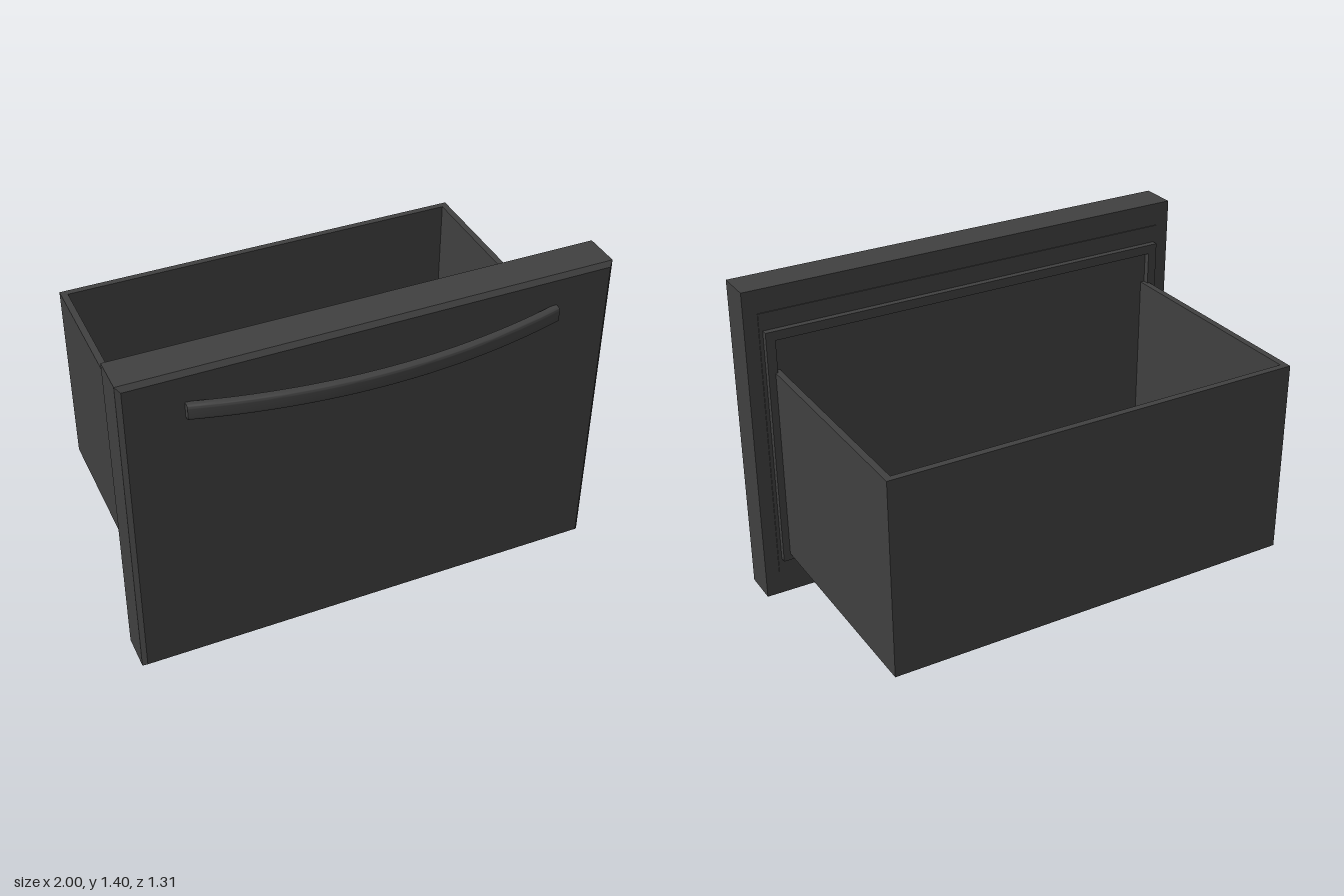
import * as THREE from 'three';
import { toCreasedNormals } from 'three/addons/utils/BufferGeometryUtils.js';

const material = new THREE.MeshStandardMaterial({ color: 0x404040 });

function add(parent, name, geometry, x = 0, y = 0, z = 0) {
  const mesh = new THREE.Mesh(geometry, material);
  mesh.name = name;
  mesh.position.set(x, y, z);
  parent.add(mesh);
  return mesh;
}

// Box given by its lower and upper corners
function addBox(parent, name, [x0, y0, z0], [x1, y1, z1]) {
  return add(parent, name, new THREE.BoxGeometry(x1 - x0, y1 - y0, z1 - z0),
    (x0 + x1) / 2, (y0 + y1) / 2, (z0 + z1) / 2);
}

function rectangle(Type, w, h, y) {
  return new Type([
    new THREE.Vector2(-w / 2, y - h / 2), new THREE.Vector2(w / 2, y - h / 2),
    new THREE.Vector2(w / 2, y + h / 2), new THREE.Vector2(-w / 2, y + h / 2),
  ]);
}

// Slab with chamfered front edges and a square back
function panelGeometry(w, h, d, chamfer) {
  const geometry = new THREE.BoxGeometry(w, h, d, 1, 1, 2);
  const p = geometry.attributes.position;
  for (let i = 0; i < p.count; i++) {
    const z = p.getZ(i);
    if (Math.abs(z) < 1e-6) p.setZ(i, d / 2 - chamfer);
    else if (z > 0) {
      p.setX(i, p.getX(i) - Math.sign(p.getX(i)) * chamfer);
      p.setY(i, p.getY(i) - Math.sign(p.getY(i)) * chamfer);
    }
  }
  return toCreasedNormals(geometry, 0.5);
}

// Rounded bar along x, bowed forward by a parabola
function handleGeometry(length, height, depth, bow) {
  const r = 0.014, a = depth / 2, b = height / 2;
  const s = new THREE.Shape();
  s.moveTo(-a + r, -b);
  s.lineTo(a - r, -b);
  s.quadraticCurveTo(a, -b, a, -b + r);
  s.lineTo(a, b - r);
  s.quadraticCurveTo(a, b, a - r, b);
  s.lineTo(-a + r, b);
  s.quadraticCurveTo(-a, b, -a, b - r);
  s.lineTo(-a, -b + r);
  s.quadraticCurveTo(-a, -b, -a + r, -b);
  const geometry = new THREE.ExtrudeGeometry(s, {
    depth: length, steps: 32, curveSegments: 5, bevelEnabled: false,
  });
  geometry.translate(0, 0, -length / 2).rotateY(Math.PI / 2);
  const p = geometry.attributes.position;
  for (let i = 0; i < p.count; i++) {
    const t = p.getX(i) / (length / 2);
    p.setZ(i, p.getZ(i) + bow * (1 - t * t));
  }
  return toCreasedNormals(geometry, 0.7);
}

export function createModel() {
  const model = new THREE.Group();
  model.name = 'drawer';

  // Front panel with a shallow raised backing
  add(model, 'frontPanel', panelGeometry(2, 1.4, 0.17, 0.018), 0, 0.7, 0.438);
  addBox(model, 'panelBacking', [-0.94, 0.1, 0.349], [0.94, 1.3, 0.36]);

  // Seal around the opening
  const seal = rectangle(THREE.Shape, 1.85, 1.055, 0.6975);
  seal.holes.push(rectangle(THREE.Path, 1.77, 0.975, 0.6975));
  add(model, 'sealFrame',
    new THREE.ExtrudeGeometry(seal, { depth: 0.03, bevelEnabled: false }), 0, 0, 0.323);

  // Open-topped bin
  const bin = new THREE.Group();
  bin.name = 'bin';
  model.add(bin);
  const x = 0.895, wall = 0.028, bottom = 0.2, top = 1.045, back = -0.655, front = 0.352;
  addBox(bin, 'binFloor', [-x, bottom, back], [x, bottom + wall, front]);
  addBox(bin, 'binBack', [-x, bottom + wall, back], [x, top, back + wall]);
  addBox(bin, 'binLeft', [x - wall, bottom + wall, back + wall], [x, top, front]);
  addBox(bin, 'binRight', [-x, bottom + wall, back + wall], [-x + wall, top, front]);

  // Bowed handle, meeting the panel at both ends
  add(model, 'handle', handleGeometry(1.51, 0.065, 0.04, 0.105), 0, 1.238, 0.53);

  return model;
}
